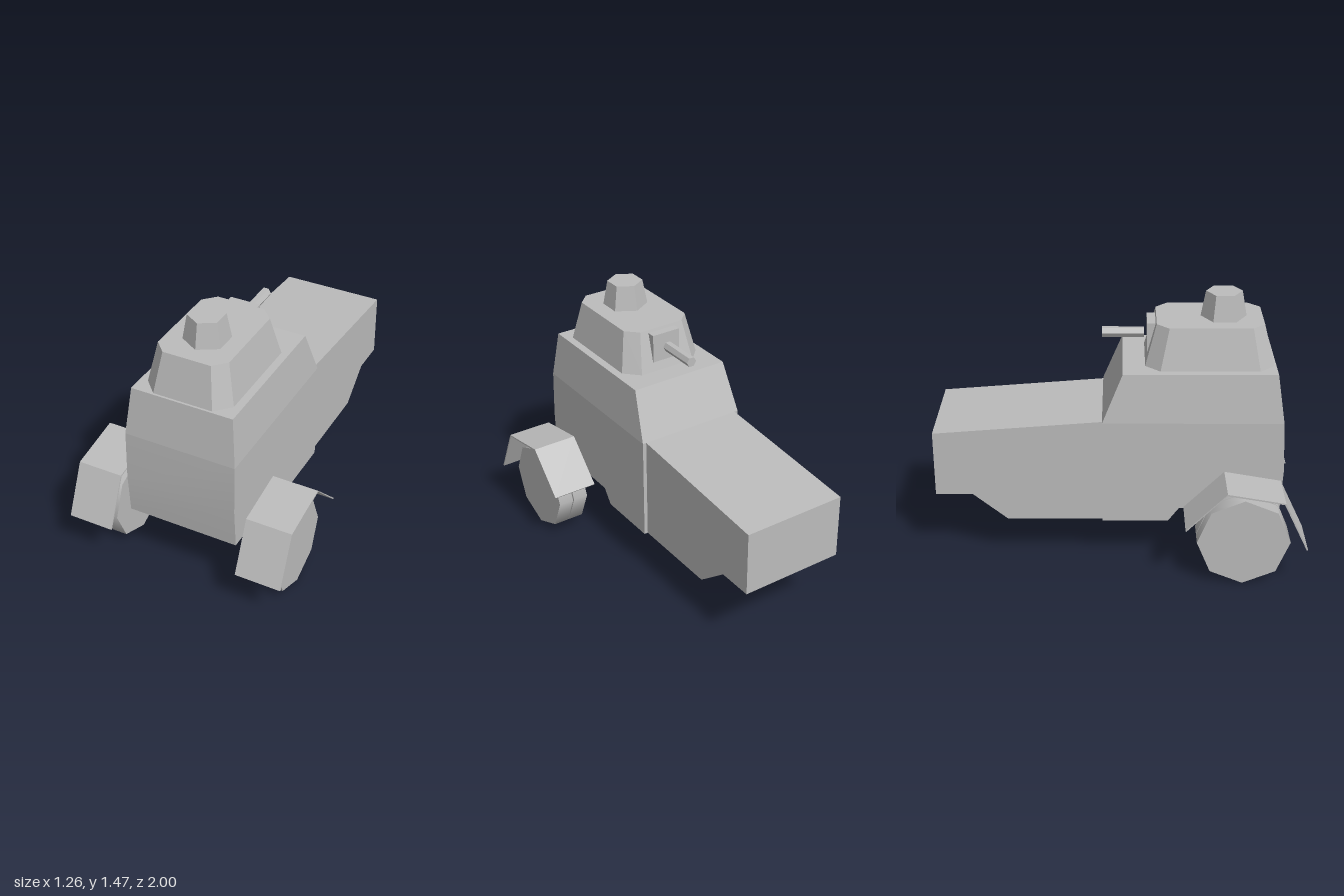
import * as THREE from 'three';
import { toCreasedNormals } from 'three/addons/utils/BufferGeometryUtils.js';
import { ConvexGeometry } from 'three/addons/geometries/ConvexGeometry.js';

const armourGrey = new THREE.MeshStandardMaterial({ color: 0xbcbcbc });

function part(parent, name, geometry) {
  const mesh = new THREE.Mesh(geometry, armourGrey);
  mesh.name = name;
  parent.add(mesh);
  return mesh;
}

// Side profile of [z, y] points, extruded across x and centred
function sideProfile(points, width, crease) {
  const shape = new THREE.Shape(points.map(([z, y]) => new THREE.Vector2(z, y)));
  const geometry = new THREE.ExtrudeGeometry(shape, { depth: width, bevelEnabled: false });
  geometry.translate(0, 0, -width / 2).rotateY(-Math.PI / 2);
  return toCreasedNormals(geometry, crease);
}

// Mirrored [x, y, z] corners wrapped in flat faces
function hull(corners) {
  const points = [];
  for (const [x, y, z] of corners) {
    points.push(new THREE.Vector3(x, y, z), new THREE.Vector3(-x, y, z));
  }
  return new ConvexGeometry(points);
}

// Half outline of a rectangle with cut corners
function cutRing(y, halfWidth, zMin, zMax, cutX, cutZ) {
  return [
    [halfWidth - cutX, y, zMin], [halfWidth, y, zMin + cutZ],
    [halfWidth, y, zMax - cutZ], [halfWidth - cutX, y, zMax],
  ];
}

export function createModel() {
  const model = new THREE.Group();
  model.name = 'armouredCar';

  // Hull: tall cabin in front, sloping long deck behind
  part(model, 'lowerCabin', sideProfile([
    [-0.09, 0.24], [0.27, 0.24], [0.33, 0.32], [0.88, 0.32],
    [0.892, 0.55], [0.88, 0.83], [-0.09, 0.83],
  ], 0.632, 0.7));
  part(model, 'upperCabin', hull([
    [0.316, 0.83, -0.09], [0.316, 0.83, 0.88],
    [0.288, 1.1, 0.02], [0.288, 1.1, 0.84],
  ]));
  part(model, 'longDeck', sideProfile([
    [-1, 0.395], [-0.8, 0.395], [-0.61, 0.24], [-0.09, 0.24],
    [-0.09, 0.83], [-1, 0.76],
  ], 0.59, 0.75));

  // Turret with cupola, gun mount and gun
  const turret = new THREE.Group();
  turret.name = 'turret';
  model.add(turret);
  part(turret, 'turretShell', hull([
    ...cutRing(1.1, 0.245, 0.14, 0.828, 0.078, 0.08),
    ...cutRing(1.325, 0.2, 0.2, 0.772, 0.065, 0.066),
  ]));
  const cupola = new THREE.CylinderGeometry(0.098, 0.124, 0.142, 6).toNonIndexed();
  cupola.computeVertexNormals();
  part(turret, 'cupola', cupola).position.set(0, 1.394, 0.562);
  part(turret, 'gunMount', new THREE.BoxGeometry(0.17, 0.16, 0.06)).position.set(0, 1.23, 0.18);
  const barrel = new THREE.CylinderGeometry(0.029, 0.029, 0.226, 6).toNonIndexed();
  barrel.rotateY(Math.PI / 6).rotateX(Math.PI / 2);
  barrel.computeVertexNormals();
  part(turret, 'gunBarrel', barrel).position.set(0, 1.231, 0.023);

  // Twin wheels and bent mudguards on both sides
  const wheel = new THREE.CylinderGeometry(0.25, 0.25, 0.088, 8).rotateZ(Math.PI / 2);
  const mudguard = sideProfile([
    [1, 0.24], [0.87, 0.518], [0.565, 0.572], [0.35, 0.357],
    [0.354, 0.351], [0.562, 0.563], [0.864, 0.511], [0.992, 0.24],
  ], 0.258, 0.3);
  for (const [side, label] of [[1, 'left'], [-1, 'right']]) {
    part(model, label + 'InnerWheel', wheel).position.set(side * 0.432, 0.25, 0.665);
    part(model, label + 'OuterWheel', wheel).position.set(side * 0.526, 0.25, 0.665);
    part(model, label + 'Mudguard', mudguard).position.x = side * 0.501;
  }
  return model;
}
